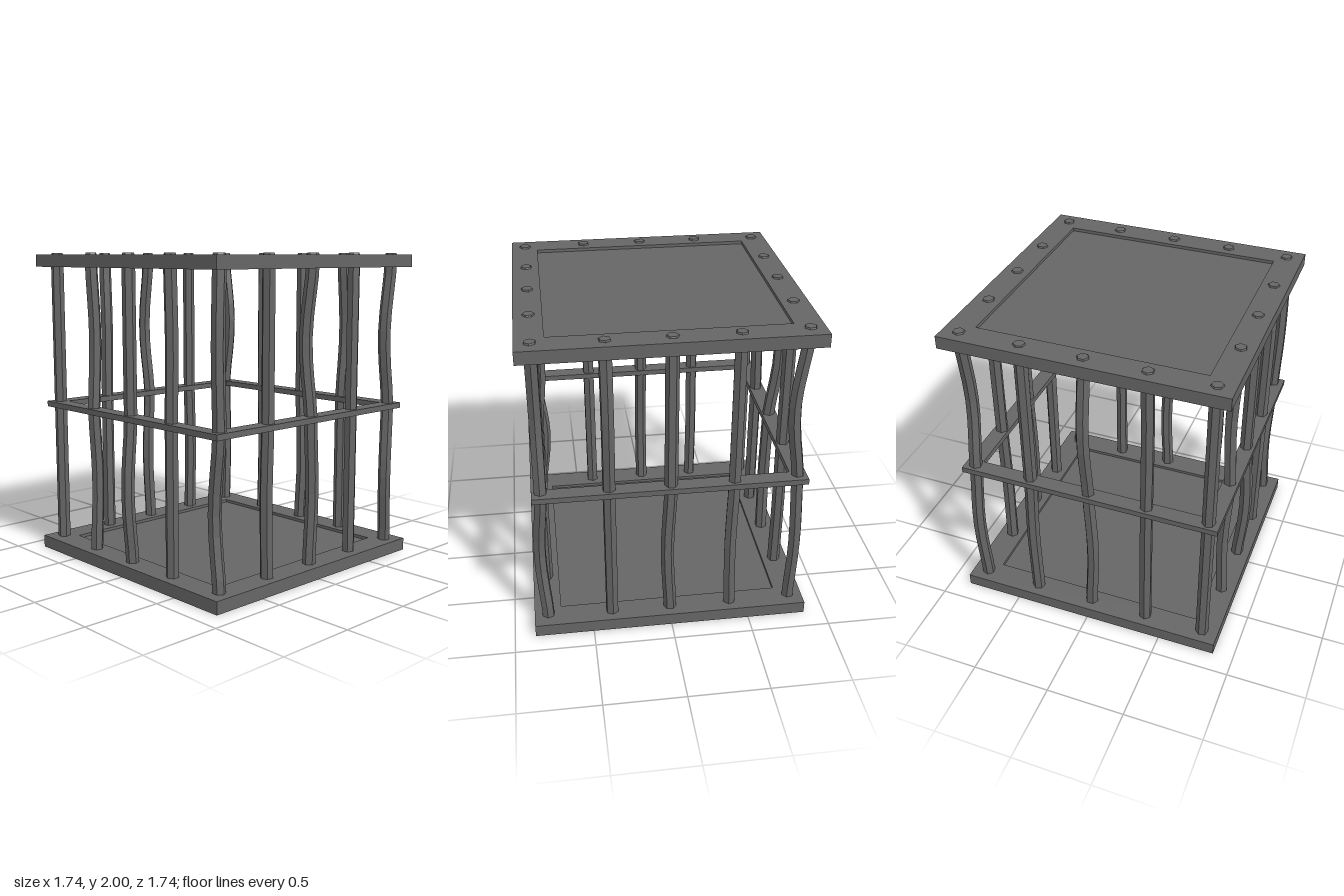
import * as THREE from 'three';

const iron = new THREE.MeshStandardMaterial({ color: 0x666666 });
iron.name = 'darkIron';

function part(name, geometry, y = 0) {
  const mesh = new THREE.Mesh(geometry, iron);
  mesh.name = name;
  mesh.position.y = y;
  return mesh;
}

// Square frame lying flat, from y = 0 up to its height
function squareFrame(outer, inner, height) {
  const square = (Type, r) => new Type([[-r, -r], [r, -r], [r, r], [-r, r]].map(p => new THREE.Vector2(...p)));
  const shape = square(THREE.Shape, outer);
  shape.holes.push(square(THREE.Path, inner));
  return new THREE.ExtrudeGeometry(shape, { depth: height, bevelEnabled: false }).rotateX(-Math.PI / 2);
}

// Plate: raised border round a thinner panel, recessed on both faces
function plate(name) {
  const group = new THREE.Group();
  group.name = name;
  group.add(part('plateBorder', squareFrame(0.87, 0.7, 0.08)));
  group.add(part('platePanel', new THREE.BoxGeometry(1.4, 0.04, 1.4), 0.04));
  return group;
}

function flat(geometry) {
  const g = geometry.toNonIndexed();
  g.computeVertexNormals();
  return g;
}

// Six-sided bar, bowed by [dx, dz] in its upper and lower halves
function barGeometry(upper, lower, turn) {
  const g = new THREE.CylinderGeometry(0.041, 0.041, 1.94, 6, 16).rotateY(turn).translate(0, 1.01, 0);
  const p = g.attributes.position;
  for (let i = 0; i < p.count; i++) {
    const y = p.getY(i);
    const bend = y > 1 ? upper : lower;
    const t = y > 1 ? (y - 1) / 0.94 : (y - 0.06) / 0.94;
    const k = Math.pow(Math.sin(Math.PI * THREE.MathUtils.clamp(t, 0, 1)), 1.5);
    p.setX(i, p.getX(i) + bend[0] * k);
    p.setZ(i, p.getZ(i) + bend[1] * k);
  }
  return flat(g);
}

// x, z, upper bend, lower bend
const BARS = [
  // front row
  [-0.765, 0.78, [-0.01, 0], [0.01, -0.05]],
  [-0.378, 0.78, [0, 0], [-0.01, 0]],
  [0, 0.78, [-0.01, -0.04], [0.02, 0]],
  [0.386, 0.78, [0, 0], [0, 0]],
  [0.765, 0.78, [-0.05, 0], [-0.05, 0.03]],
  // back row
  [-0.765, -0.78, [0, 0], [0, 0]],
  [-0.378, -0.78, [0, 0.01], [0, 0]],
  [0, -0.78, [0, -0.05], [-0.02, 0]],
  [0.386, -0.78, [0, 0], [0.01, 0]],
  [0.765, -0.78, [0, 0.05], [0.02, -0.01]],
  // right and left sides
  [-0.78, 0.385, [0, 0.01], [0, 0]],
  [-0.78, 0, [0, 0], [-0.03, 0]],
  [-0.78, -0.38, [0.02, 0], [0.02, 0]],
  [0.78, 0.375, [0.03, 0], [0, 0]],
  [0.78, 0, [0, 0], [0, 0.02]],
  [0.78, -0.388, [0, 0], [0, 0.01]],
];

export function createModel() {
  const cage = new THREE.Group();
  cage.name = 'cage';

  const floor = plate('floorPlate');
  const roof = plate('roofPlate');
  roof.position.y = 1.91;
  cage.add(floor, roof);

  // Band round the bars at mid height
  cage.add(part('middleBand', squareFrame(0.835, 0.735, 0.036), 0.98));

  // Bars with bevelled ends showing above the roof
  BARS.forEach(([x, z, upper, lower], i) => {
    const group = new THREE.Group();
    group.name = 'bar' + (i + 1);
    group.position.set(x, 0, z);
    const turn = i * 0.37;
    group.add(part('barShaft', barGeometry(upper, lower, turn)));
    group.add(part('barEnd', flat(new THREE.CylinderGeometry(0.034, 0.042, 0.02, 6).rotateY(turn)), 1.99));
    cage.add(group);
  });
  return cage;
}
